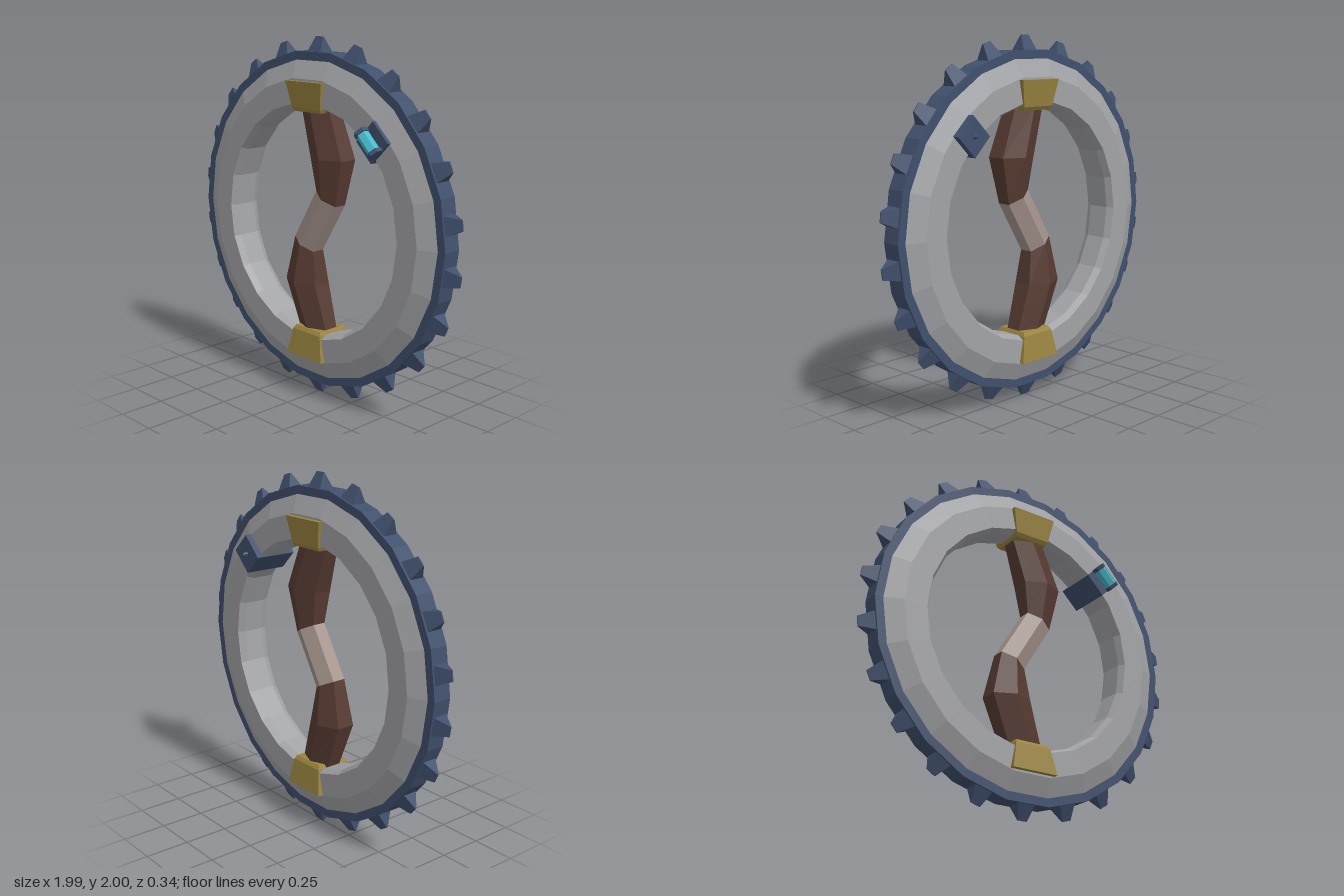
import * as THREE from 'three';

const SIDES = 22;

const mat = (name, color) => {
  const m = new THREE.MeshStandardMaterial({ color });
  m.name = name;
  return m;
};

// Faceted look: every face gets its own normal
function facet(geometry) {
  const g = geometry.index ? geometry.toNonIndexed() : geometry;
  g.computeVertexNormals();
  return g;
}

function part(name, geometry, material, parent) {
  const mesh = new THREE.Mesh(facet(geometry), material);
  mesh.name = name;
  parent.add(mesh);
  return mesh;
}

// Skin a list of closed cross-sections, bottom to top, with end caps
function loft(sections) {
  const n = sections[0].length;
  const pos = sections.flat(2);
  const idx = [];
  for (let i = 0; i < sections.length - 1; i++) {
    for (let j = 0; j < n; j++) {
      const a = i * n + j, b = i * n + (j + 1) % n;
      idx.push(a, b, b + n, a, b + n, a + n);
    }
  }
  const top = (sections.length - 1) * n;
  for (let j = 1; j < n - 1; j++) {
    idx.push(0, j + 1, j, top, top + j, top + j + 1);
  }
  const g = new THREE.BufferGeometry();
  g.setAttribute('position', new THREE.Float32BufferAttribute(pos, 3));
  g.setIndex(idx);
  return g;
}

// Rectangular section: half width, half depth, height
const rect = (w, d, y) => [[w, y, -d], [-w, y, -d], [-w, y, d], [w, y, d]];

// Six-sided section with ridges at front and back, sheared by a slope
function hex([cx, cy, halfW, halfD, slope]) {
  return Array.from({ length: 6 }, (_, j) => {
    const a = Math.PI / 6 + j * Math.PI / 3;
    const dx = halfW * Math.cos(a) / Math.cos(Math.PI / 6);
    return [cx + dx, cy + slope * dx, -halfD * Math.sin(a)];
  });
}

// Faceted hoop around the z axis from a closed (radius, z) profile
function hoop(profile) {
  const pts = [...profile, profile[0]].map(([r, z]) => new THREE.Vector2(r, z));
  return new THREE.LatheGeometry(pts, SIDES, Math.PI / SIDES, Math.PI * 2).rotateX(Math.PI / 2);
}

export function createModel() {
  const steel = mat('grey steel', 0xa2a3a6);
  const navy = mat('blue steel', 0x40506d);
  const gold = mat('dull gold', 0x9a8440);
  const brown = mat('brown leather', 0x573b32);
  const wrap = mat('pale wrap', 0xa5948c);
  const cyan = mat('cyan glass', 0x45bccd);

  const model = new THREE.Group();
  model.name = 'spikedRing';
  const body = new THREE.Group();
  body.name = 'body';
  body.position.y = 1;
  model.add(body);

  // Ring body and outer band
  part('ring', hoop([
    [0.635, -0.06], [0.655, -0.097], [0.787, -0.097], [0.89, -0.05],
    [0.89, 0.05], [0.787, 0.097], [0.655, 0.097], [0.635, 0.06],
  ]), steel, body);
  part('outerBand', hoop([
    [0.87, -0.053], [0.93, -0.053], [0.93, 0.053], [0.87, 0.053],
  ]), navy, body);

  // Wedge spikes around the band
  const spikes = new THREE.Group();
  spikes.name = 'spikes';
  body.add(spikes);
  for (let i = 0; i < SIDES; i++) {
    const spike = part('spike', loft([
      rect(0.052, 0.045, 0.915), rect(0.028, 0.003, 1),
    ]), navy, spikes);
    spike.rotation.z = i * Math.PI * 2 / SIDES;
  }

  // Clamps joining the grip to the ring
  for (const [name, turn] of [['topClamp', 0], ['bottomClamp', Math.PI]]) {
    const clamp = part(name, loft([
      rect(0.098, 0.09, 0.605), rect(0.108, 0.104, 0.625), rect(0.137, 0.125, 0.768),
    ]), gold, body);
    clamp.rotation.z = turn;
  }

  // S-shaped grip: two leather halves and a wrapped middle
  const join = [0.085, 0.14, 0.073, 0.075, -0.47];
  const half = [join, [0.1, 0.36, 0.117, 0.106, 0], [0.01, 0.62, 0.105, 0.085, 0], [0, 0.68, 0.09, 0.08, 0]];
  for (const [name, turn] of [['upperGrip', 0], ['lowerGrip', Math.PI]]) {
    part(name, loft(half.map(hex)), brown, body).rotation.z = turn;
  }
  const [jx, jy, ...rest] = join;
  part('gripWrap', loft([hex([-jx, -jy, ...rest]), hex(join)]), wrap, body);

  // Lamp fixed on the ring; local x runs along the ring, local y outward
  const lamp = new THREE.Group();
  lamp.name = 'lamp';
  lamp.position.set(0.495, 0.5, 0);
  lamp.rotation.z = -Math.PI / 4;
  body.add(lamp);
  part('lampHousing', new THREE.BoxGeometry(0.145, 0.16, 0.25), navy, lamp).position.z = -0.008;
  const tube = (r, len) => new THREE.CylinderGeometry(r, r, len, 6).rotateZ(Math.PI / 2);
  part('lampGlass', tube(0.034, 0.12), cyan, lamp).position.z = 0.142;
  for (const s of [-1, 1]) {
    part('lampCap', tube(0.041, 0.022), navy, lamp).position.set(s * 0.066, 0, 0.142);
  }
  // Small stud on the back of the lamp
  part('lampStud', new THREE.CylinderGeometry(0.006, 0.016, 0.03, 6).rotateX(-Math.PI / 2), navy, lamp)
    .position.z = -0.145;

  return model;
}
